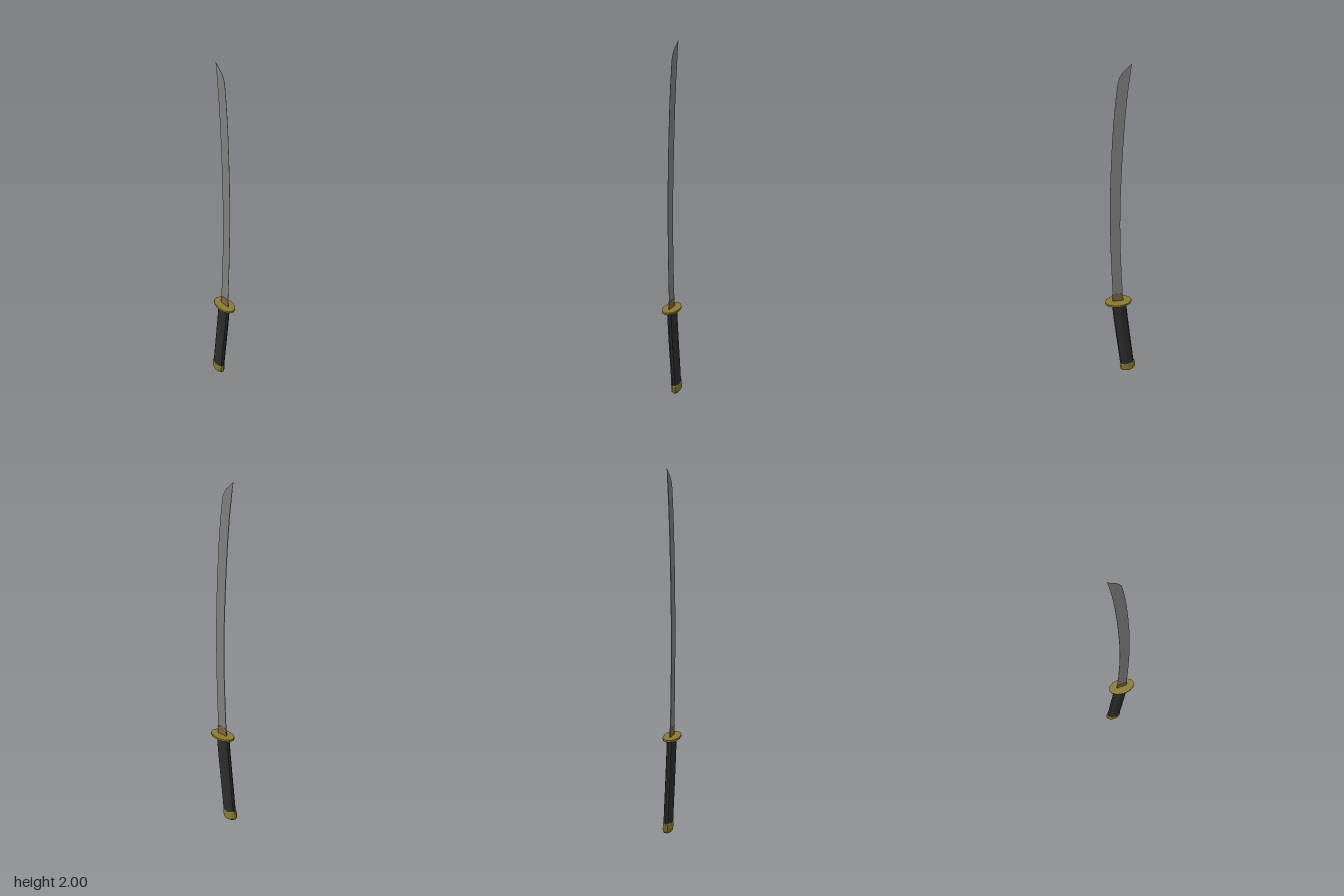
import * as THREE from 'three';

const gold = 0x8a7b32, black = 0x2e2e2f, steel = 0x808080, copper = 0x80643f;

function part(name, geometry, color) {
  const material = new THREE.MeshStandardMaterial({ color, flatShading: true, side: THREE.DoubleSide });
  const mesh = new THREE.Mesh(geometry, material);
  mesh.name = name;
  return mesh;
}

// Skins a stack of equal-length rings of [x, y, z] and closes both ends.
function loft(rings) {
  const n = rings[0].length, index = [];
  for (let r = 0; r < rings.length - 1; r++) {
    for (let i = 0; i < n; i++) {
      const a = r * n + i, b = r * n + (i + 1) % n;
      index.push(a, a + n, b, b, a + n, b + n);
    }
  }
  const top = (rings.length - 1) * n;
  for (let i = 1; i < n - 1; i++) {
    index.push(0, i, i + 1, top, top + i + 1, top + i);
  }
  const geometry = new THREE.BufferGeometry();
  geometry.setAttribute('position', new THREE.Float32BufferAttribute(rings.flat(2), 3));
  geometry.setIndex(index);
  geometry.computeVertexNormals();
  return geometry;
}

// Twelve-sided oval ring, leaning by a slope in x.
function oval([x, y, rx, rz, slope]) {
  return Array.from({ length: 12 }, (_, i) => {
    const a = i * Math.PI / 6, dx = rx * Math.cos(a);
    return [x + dx, y - slope * dx, rz * Math.sin(a)];
  });
}

// Blade section: thicker spine at -x, narrow cutting edge at +x.
function wedge([y, spine, edge, back = 0.002, front = 0.0006]) {
  return [[spine, y, -back], [edge, y, -front], [edge, y, front], [spine, y, back]];
}

export function createModel() {
  const sword = new THREE.Group();
  sword.name = 'curvedSword';

  // Curved blade with a slanted point: y, spine x, edge x
  const blade = [
    [0.56, -0.016, 0.041], [0.75, -0.007, 0.048], [0.93, -0.001, 0.053],
    [1.1, 0.001, 0.055], [1.25, -0.001, 0.054], [1.4, -0.006, 0.05],
    [1.55, -0.013, 0.043], [1.7, -0.022, 0.034], [1.82, -0.032, 0.023],
    [1.917, -0.043, 0.011], [1.938, -0.046, 0.003, 0.0015], [1.962, -0.049, -0.012, 0.001],
    [2, -0.055, -0.054, 0.0005, 0.0003]
  ];
  sword.add(part('blade', loft(blade.map(wedge)), steel));

  // Collar around the blade root
  const collar = [[0.56, -0.018, 0.043, 0.003, 0.0015], [0.615, -0.013, 0.047, 0.003, 0.0015]];
  sword.add(part('bladeCollar', loft(collar.map(wedge)), copper));

  // Oval guard
  const guard = [[0.012, 0.553, 0.076, 0.046, 0], [0.012, 0.565, 0.076, 0.046, 0]];
  sword.add(part('guard', loft(guard.map(oval)), gold));

  // Slightly curved grip
  const grip = [
    [-0.041, 0.05, 0.041, 0.024, 0.12], [-0.028, 0.18, 0.041, 0.024, 0.11],
    [-0.014, 0.31, 0.041, 0.024, 0.1], [-0.002, 0.43, 0.041, 0.024, 0.06],
    [0.009, 0.555, 0.041, 0.024, 0]
  ];
  sword.add(part('grip', loft(grip.map(oval)), black));

  // Pommel cap with a bevelled end
  const pommel = [
    [-0.047, 0.006, 0.038, 0.021, 0.12], [-0.046, 0.015, 0.045, 0.026, 0.12],
    [-0.042, 0.058, 0.046, 0.026, 0.12], [-0.041, 0.063, 0.042, 0.0245, 0.12]
  ];
  sword.add(part('pommel', loft(pommel.map(oval)), gold));

  return sword;
}
